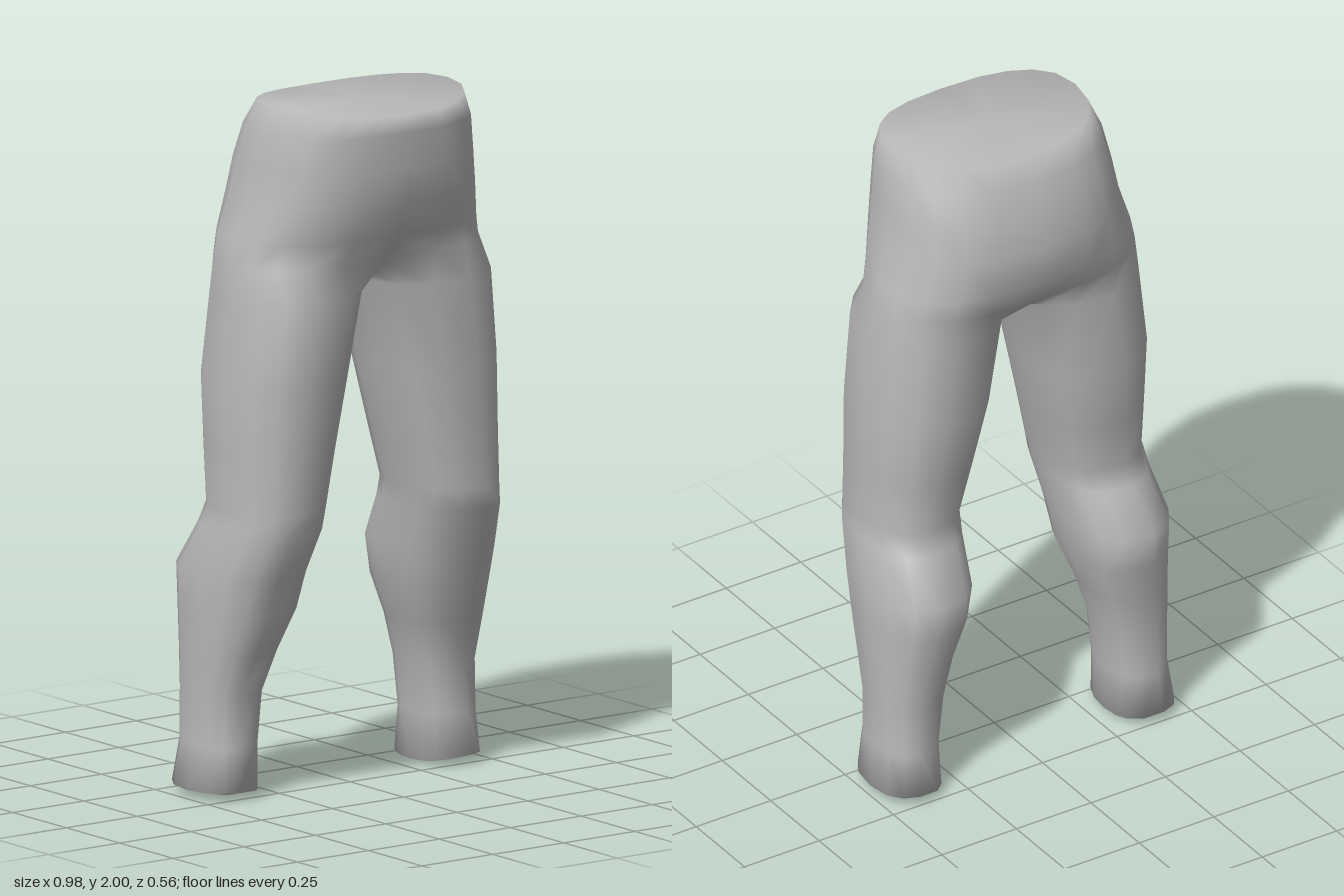
import * as THREE from 'three';
import { mergeVertices } from 'three/addons/utils/BufferGeometryUtils.js';

const OUTER = 11; // points from front centre round the outer side to back centre
const INNER = 3;  // points that close a leg on its inner side
const power = (v, p) => Math.sign(v) * Math.pow(Math.abs(v), p);

// Pelvis half rings: height, half width, front z, back z
const PELVIS = [
  [1.99, 0.305, 0.275, -0.175],
  [1.92, 0.335, 0.28, -0.215],
  [1.82, 0.352, 0.277, -0.25],
  [1.72, 0.368, 0.27, -0.268],
  [1.61, 0.402, 0.23, -0.265],
];

// Leg rings: height, inner x, outer x, front z, back z
const LEG = [
  [1.45, 0.034, 0.427, 0.213, -0.212],
  [1.2, 0.085, 0.45, 0.208, -0.22],
  [1.0, 0.13, 0.45, 0.2, -0.195],
  [0.84, 0.165, 0.45, 0.196, -0.172],
  [0.78, 0.172, 0.457, 0.192, -0.2],
  [0.65, 0.186, 0.48, 0.14, -0.278],
  [0.54, 0.2, 0.48, 0.105, -0.265],
  [0.42, 0.246, 0.478, 0.06, -0.245],
  [0.3, 0.276, 0.477, 0.016, -0.23],
  [0.15, 0.295, 0.475, 0.018, -0.23],
  [0.03, 0.294, 0.49, 0.024, -0.25],
];

function pelvisRow([y, w, zf, zb], i) {
  const row = [];
  for (let j = 0; j < OUTER; j++) {
    const a = Math.PI * (0.5 - j / (OUTER - 1));
    const edge = j === 0 || j === OUTER - 1;
    const x = edge ? 0 : w * power(Math.cos(a), 0.8);
    const s = power(Math.sin(a), 0.85);
    // The waist dips at the front and a little at the back
    const dip = i === 0 ? 0.01 - (s > 0 ? 0.03 : 0.018) * s * s : 0;
    row.push([x, y + dip, (zf + zb) / 2 + s * (zf - zb) / 2]);
  }
  return row;
}

// Lowest pelvis row, joined through the crotch on the centre line
function crotchRow() {
  const row = pelvisRow([1.545, 0.417, 0.216, -0.258], 1);
  row[0] = [0, 1.52, 0.15];
  row[1][2] = 0.195;
  row[OUTER - 1] = [0, 1.5, -0.19];
  row[OUTER - 2][2] = -0.24;
  row.push([0, 1.485, -0.1], [0, 1.48, -0.02], [0, 1.485, 0.07]);
  return row;
}

function legRow([y, xi, xo, zf, zb], i) {
  const row = [];
  for (let j = 0; j < OUTER + INNER; j++) {
    const deg = j < OUTER ? 140 - 28 * j : -140 - 20 * (j - OUTER + 1);
    const a = THREE.MathUtils.degToRad(deg);
    const c = power(Math.cos(a), 0.8), s = power(Math.sin(a), 0.8);
    // The hem is lower at its sides than at front and back
    const hem = i === LEG.length - 1 ? 0.012 * s * s - 0.015 + 0.006 * c : 0;
    row.push([(xi + xo) / 2 + c * (xo - xi) / 2, y + hem, (zf + zb) / 2 + s * (zf - zb) / 2]);
  }
  return row;
}

function createBodyGeometry() {
  const pelvis = [...PELVIS.map(pelvisRow), crotchRow()];
  const legs = [pelvis[pelvis.length - 1], ...LEG.map(legRow)];
  const positions = [];

  // Each triangle is added on both sides of the centre line
  const tri = (a, b, c) => {
    positions.push(...a, ...b, ...c);
    for (const [x, y, z] of [a, c, b]) positions.push(-x, y, z);
  };
  const loft = (rows, count, closed) => {
    for (let i = 0; i < rows.length - 1; i++) {
      for (let j = 0; j < (closed ? count : count - 1); j++) {
        const k = (j + 1) % count;
        const a = rows[i][j], b = rows[i][k], c = rows[i + 1][k], d = rows[i + 1][j];
        tri(a, d, c);
        tri(a, c, b);
      }
    }
  };
  loft(pelvis, OUTER, false);
  loft(legs, OUTER + INNER, true);

  // Waist cap and soles
  const waist = [0, 1.98, 0.05], sole = [0.385, 0, -0.07];
  for (let j = 0; j < OUTER - 1; j++) tri(waist, pelvis[0][j], pelvis[0][j + 1]);
  const hem = legs[legs.length - 1];
  hem.forEach((p, j) => tri(sole, hem[(j + 1) % hem.length], p));

  // Weld so that the shading is smooth over the whole body
  const raw = new THREE.BufferGeometry();
  raw.setAttribute('position', new THREE.Float32BufferAttribute(positions, 3));
  const geometry = mergeVertices(raw, 1e-4);
  geometry.computeVertexNormals();
  return geometry;
}

export function createModel() {
  const group = new THREE.Group();
  group.name = 'lowerBody';
  const grey = new THREE.MeshStandardMaterial({ color: 0xb8b8b8 });
  grey.name = 'plain grey';
  const body = new THREE.Mesh(createBodyGeometry(), grey);
  body.name = 'pelvisAndLegs';
  group.add(body);
  return group;
}
